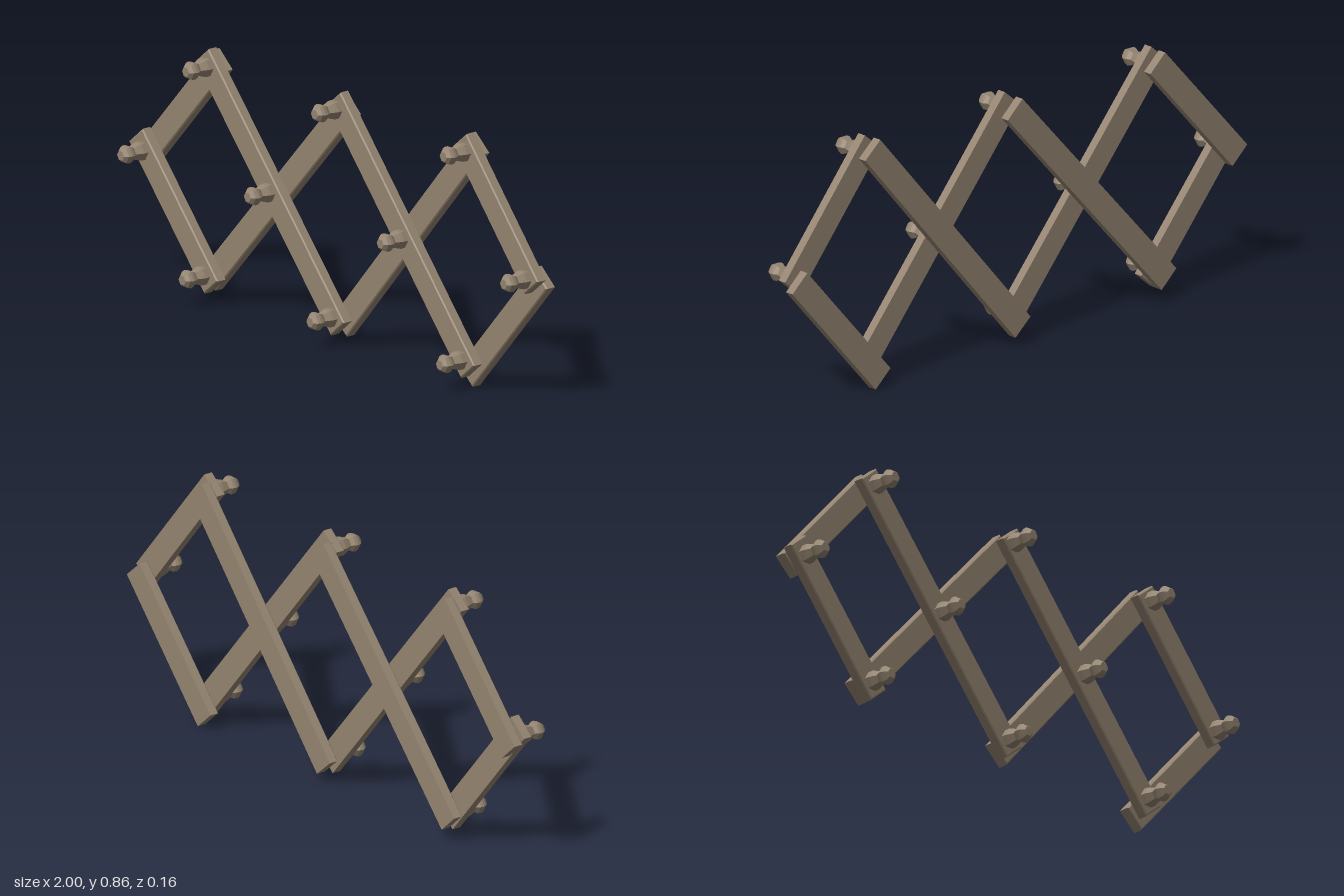
import * as THREE from 'three';

const WIDTH = 0.087;   // slat width
const DEPTH = 0.035;   // slat thickness
const CHAMFER = 0.004;

// Flat bar between two end points, with its front edges chamfered
function makeSlat(name, [x1, y1, x2, y2], zFront, material) {
  const length = Math.hypot(x2 - x1, y2 - y1);
  const geometry = new THREE.BoxGeometry(length, WIDTH, DEPTH, 1, 1, 2);
  const p = geometry.attributes.position;
  for (let i = 0; i < p.count; i++) {
    const z = p.getZ(i);
    if (z > 0.001) {
      p.setX(i, p.getX(i) - Math.sign(p.getX(i)) * CHAMFER);
      p.setY(i, p.getY(i) - Math.sign(p.getY(i)) * CHAMFER);
    } else if (z > -0.001) {
      p.setZ(i, DEPTH / 2 - CHAMFER);
    }
  }
  const slat = new THREE.Mesh(geometry, material);
  slat.name = name;
  slat.position.set((x1 + x2) / 2, (y1 + y2) / 2, zFront - DEPTH / 2);
  slat.rotation.z = Math.atan2(y2 - y1, x2 - x1);
  return slat;
}

// Six-sided turned peg pointing forwards
function makePegGeometry() {
  const profile = [
    [0, -0.012], [0.032, -0.012], [0.032, 0.008], [0.029, 0.018], [0.0225, 0.036],
    [0.030, 0.049], [0.0315, 0.060], [0.028, 0.071], [0.017, 0.083], [0, 0.083],
  ].map(([r, y]) => new THREE.Vector2(r, y));
  const geometry = new THREE.LatheGeometry(profile, 6, Math.PI / 2);
  geometry.rotateX(Math.PI / 2);
  return geometry;
}

export function createModel() {
  const model = new THREE.Group();
  model.name = 'expandingPegRack';
  const wood = new THREE.MeshStandardMaterial({ color: 0x948470, flatShading: true });
  wood.name = 'brownWood';

  // Front layer: slats falling to the right
  const frontSlats = [
    [-0.967, 0.492, -0.600, 0.062],
    [-0.645, 0.833, 0.017, 0.062],
    [-0.002, 0.833, 0.652, 0.062],
    [0.612, 0.833, 0.962, 0.414],
  ];
  frontSlats.forEach((ends, i) => model.add(makeSlat(`frontSlat${i + 1}`, ends, -0.009, wood)));

  // Back layer: slats rising to the right
  const backSlats = [
    [-0.966, 0.416, -0.606, 0.816],
    [-0.655, 0.068, 0.020, 0.808],
    [-0.014, 0.058, 0.645, 0.819],
    [0.600, 0.029, 0.965, 0.441],
  ];
  backSlats.forEach((ends, i) => model.add(makeSlat(`backSlat${i + 1}`, ends, -0.046, wood)));

  // Pegs at every joint
  const pegs = [
    [-0.617, 0.801], [0.011, 0.801], [0.639, 0.801],
    [-0.934, 0.448], [-0.316, 0.448], [0.332, 0.439], [0.933, 0.439],
    [-0.634, 0.097], [-0.011, 0.097], [0.621, 0.097],
  ];
  const pegGeometry = makePegGeometry();
  pegs.forEach(([x, y], i) => {
    const peg = new THREE.Mesh(pegGeometry, wood);
    peg.name = `peg${i + 1}`;
    peg.position.set(x, y, 0);
    model.add(peg);
  });

  return model;
}
